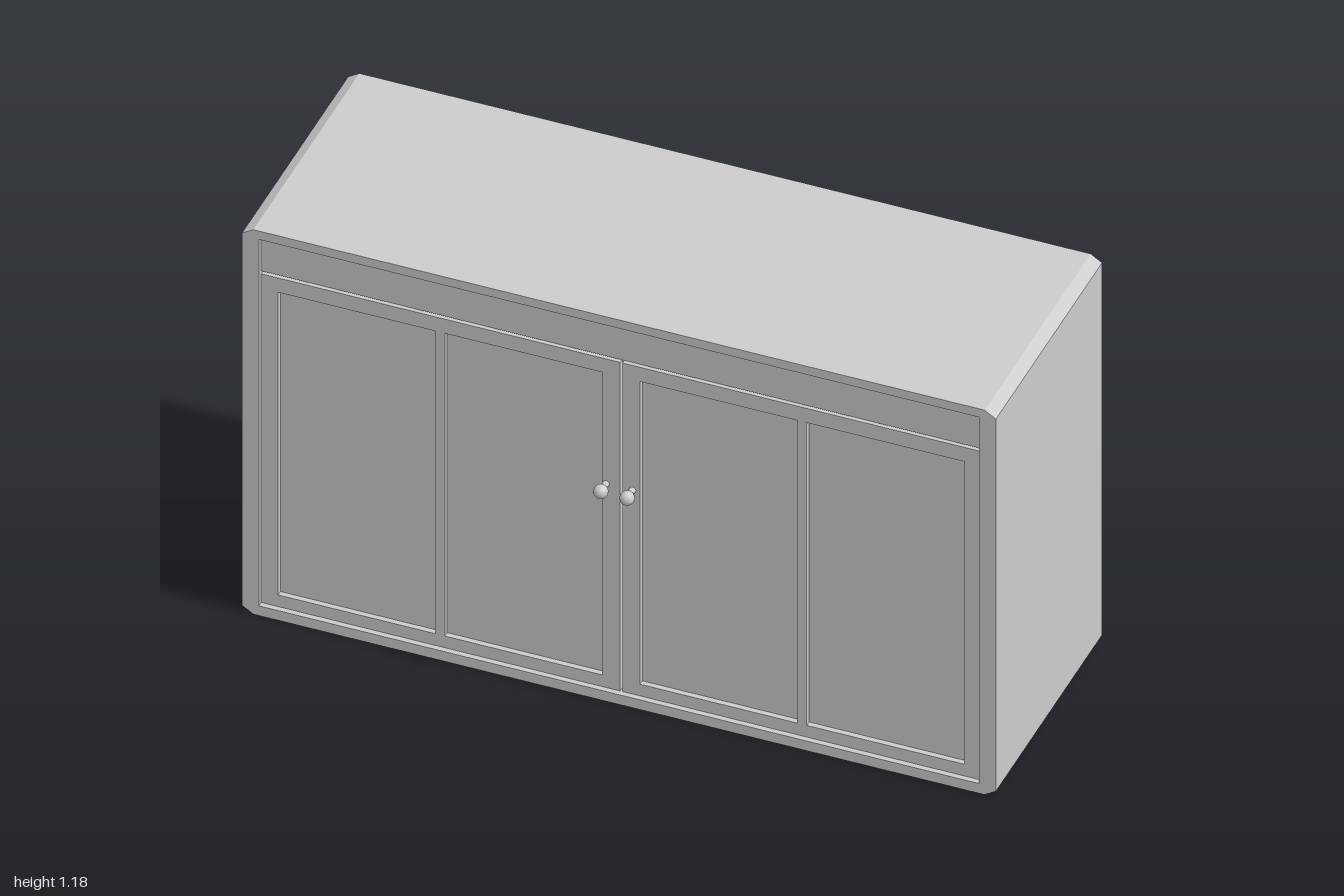
import * as THREE from 'three';

const material = new THREE.MeshStandardMaterial({ color: 0xcccccc });

const BACK = -0.363, FLOOR = 0.295, DOOR = 0.31, FRONT = 0.325;

function outline(points, Type = THREE.Shape) {
  return new Type(points.map(([x, y]) => new THREE.Vector2(x, y)));
}

function rect(x0, x1, y0, y1, Type) {
  return outline([[x0, y0], [x1, y0], [x1, y1], [x0, y1]], Type);
}

// Extrudes a front-view shape between two depths
function slab(name, shape, z0, z1) {
  const geometry = new THREE.ExtrudeGeometry(shape, { depth: z1 - z0, bevelEnabled: false });
  geometry.translate(0, 0, z0);
  const mesh = new THREE.Mesh(geometry, material);
  mesh.name = name;
  return mesh;
}

// Cabinet silhouette with clipped corners
function cabinetShape() {
  const w = 1, h = 1.183, cx = 0.03, cy = 0.019;
  return outline([
    [-w + cx, 0], [w - cx, 0], [w, cy], [w, h - cy],
    [w - cx, h], [-w + cx, h], [-w, h - cy], [-w, cy],
  ]);
}

// Round knob on a short neck
function knob(x) {
  const group = new THREE.Group();
  group.name = x > 0 ? 'leftKnob' : 'rightKnob';
  const ball = new THREE.Mesh(new THREE.SphereGeometry(0.019, 16, 12), material);
  ball.name = 'knobBall';
  ball.position.z = 0.345;
  const neck = new THREE.Mesh(new THREE.CylinderGeometry(0.009, 0.009, 0.03, 12), material);
  neck.name = 'knobNeck';
  neck.rotation.x = Math.PI / 2;
  neck.position.z = 0.325;
  group.add(ball, neck);
  group.position.set(x, 0.658, 0);
  return group;
}

export function createModel() {
  const model = new THREE.Group();
  model.name = 'sideboard';

  // Carcass and the raised frame around the front opening
  model.add(slab('carcass', cabinetShape(), BACK, FLOOR));
  const frame = cabinetShape();
  frame.holes.push(rect(-0.955, 0.955, 0.03, 1.157, THREE.Path));
  model.add(slab('frontFrame', frame, FLOOR, FRONT));

  // Top fascia above the doors
  model.add(slab('topFascia', rect(-0.955, 0.955, 1.05, 1.157), FLOOR, DOOR));

  // Two doors, each with a pair of sunken panels
  for (const side of [-1, 1]) {
    const span = (a, b) => (side > 0 ? [a, b] : [-b, -a]);
    const door = rect(...span(0.003, 0.955), 0.03, 1.041);
    for (const [a, b] of [[0.05, 0.468], [0.492, 0.91]]) {
      door.holes.push(rect(...span(a, b), 0.066, 0.997, THREE.Path));
    }
    model.add(slab(side > 0 ? 'leftDoor' : 'rightDoor', door, FLOOR, DOOR));
  }

  model.add(knob(-0.04), knob(0.03));
  return model;
}
